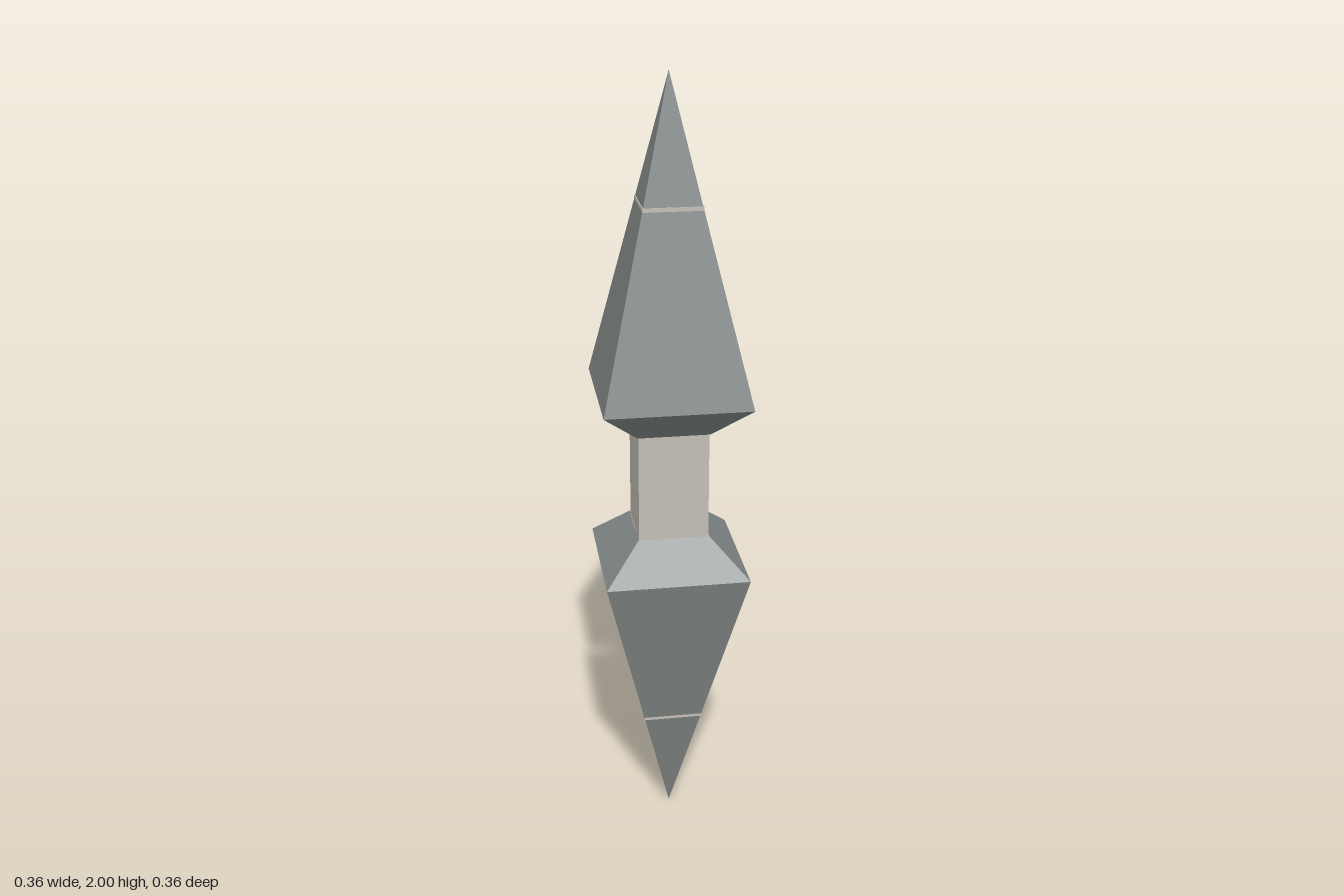
import * as THREE from 'three';

export function createModel() {
  const model = new THREE.Group();
  const stone = new THREE.MeshStandardMaterial({ name: 'slate grey', color: 0x808786 });
  const pale = new THREE.MeshStandardMaterial({ name: 'pale beige', color: 0xc4beb6 });

  // Square frustum between two heights, given half-widths at top and bottom
  function frustum(name, yBottom, yTop, halfBottom, halfTop, material, open = false) {
    const geometry = new THREE.CylinderGeometry(
      halfTop * Math.SQRT2, halfBottom * Math.SQRT2, yTop - yBottom, 4, 1, open
    ).rotateY(Math.PI / 4).toNonIndexed();
    geometry.computeVertexNormals();
    const mesh = new THREE.Mesh(geometry, material);
    mesh.name = name;
    mesh.position.y = (yBottom + yTop) / 2;
    model.add(mesh);
  }

  // Spearheads: long pyramid points with short shoulders towards the grip
  const wide = 0.181, narrow = 0.09;
  frustum('upperPoint', 1.232, 2, wide, 0, stone, true);
  frustum('upperShoulder', 1.142, 1.232, narrow, wide, stone, true);
  frustum('lowerShoulder', 0.865, 0.775, wide, narrow, stone, true);
  model.remove(model.children.pop());
  frustum('lowerShoulder', 0.775, 0.865, wide, narrow, stone, true);
  frustum('lowerPoint', 0.004, 0.775, 0, wide, stone, true);

  // Square grip between the shoulders
  frustum('grip', 0.86, 1.147, 0.088, 0.088, pale);

  // Inner core whose ends just break the surface as thin pale bands
  frustum('upperCore', 1.1, 1.702, 0.0725, 0.0725, pale);
  frustum('lowerCore', 0.322, 0.9, 0.0765, 0.0765, pale);

  return model;
}
